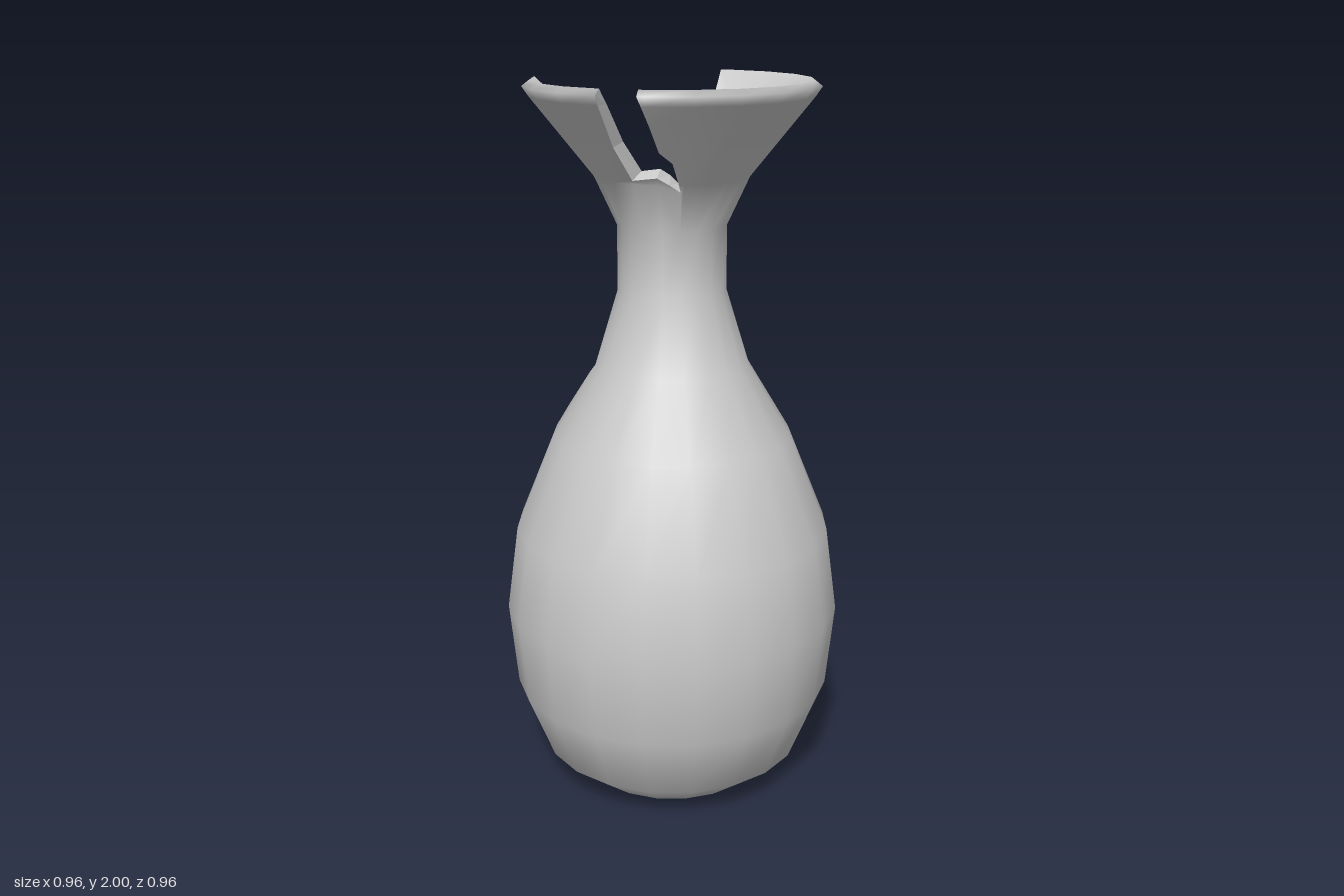
import * as THREE from 'three';
import { mergeVertices } from 'three/addons/utils/BufferGeometryUtils.js';

const STEP = 18; // degrees per side, 20 sides

// Wall rings from foot to lip: outer radius, outer y, inner radius, inner y
const RINGS = [
  [0.265, 0, 0.25, 0.05], [0.38, 0.09, 0.34, 0.11], [0.455, 0.28, 0.415, 0.28],
  [0.478, 0.52, 0.438, 0.52], [0.445, 0.76, 0.405, 0.76], [0.335, 1.03, 0.295, 1.03],
  [0.215, 1.23, 0.172, 1.23], [0.15, 1.44, 0.105, 1.44], [0.15, 1.62, 0.1, 1.63],
  [0.21, 1.75, 0.16, 1.77], [0.378, 1.96, 0.335, 1.96], [0.395, 1.985, 0.375, 2],
];

// Unrolled wall outline (angle, height) with the two broken gaps in its top
const OUTLINE = [
  [-18, -1], [342, -1], [342, 2], [246, 2],
  // large side break
  [251, 1.75], [248, 1.62], [251, 1.455], [212, 1.48], [234, 1.235], [221, 1.16],
  [197, 1.22], [197, 1.035], [148, 1.04], [137, 1.2], [127, 1.235], [142, 1.41],
  [190, 1.45], [192, 1.62], [163, 1.75], [144, 2],
  // small front notch
  [72, 2], [75, 1.85], [72, 1.76], [54, 1.77], [38, 1.73], [44, 1.81], [51, 1.84], [57.5, 2],
  [-18, 2],
];

// Keep the part of a polygon on one side of an axis-aligned line
function clip(poly, axis, value, sign) {
  const out = [];
  poly.forEach((a, i) => {
    const b = poly[(i + 1) % poly.length];
    const da = (a[axis] - value) * sign, db = (b[axis] - value) * sign;
    if (da >= 0) out.push(a);
    if ((da > 0 && db < 0) || (da < 0 && db > 0)) {
      const t = da / (da - db);
      const p = [a[0] + (b[0] - a[0]) * t, a[1] + (b[1] - a[1]) * t];
      p[axis] = value;
      out.push(p);
    }
  });
  return out;
}

const same = (a, b) => Math.abs(a - b) < 1e-6;

function toGeometry(points) {
  const g = new THREE.BufferGeometry();
  g.setAttribute('position', new THREE.Float32BufferAttribute(points.flat(), 3));
  return g;
}

export function createModel() {
  const shell = [], cuts = [];
  const quad = (list, a, b, c, d) => list.push(a, b, c, a, c, d);

  for (let col = 0; col < 20; col++) {
    const t0 = (col - 1) * STEP, t1 = t0 + STEP;
    const a0 = THREE.MathUtils.degToRad(t0), a1 = THREE.MathUtils.degToRad(t1);

    for (let k = 0; k < RINGS.length - 1; k++) {
      const lo = RINGS[k], hi = RINGS[k + 1], last = k === RINGS.length - 2;
      // Place an unrolled point on the outer (side 0) or inner (side 2) wall
      const place = ([t, y], side) => {
        const f = (t - t0) / STEP, g = (y - lo[1]) / (hi[1] - lo[1]);
        const r = lo[side] + (hi[side] - lo[side]) * g;
        const h = lo[side + 1] + (hi[side + 1] - lo[side + 1]) * g;
        return [
          r * (Math.cos(a0) * (1 - f) + Math.cos(a1) * f), h,
          r * (Math.sin(a0) * (1 - f) + Math.sin(a1) * f),
        ];
      };
      let cell = clip(OUTLINE, 0, t0, 1);
      cell = clip(cell, 0, t1, -1);
      cell = clip(cell, 1, lo[1], 1);
      cell = clip(cell, 1, hi[1], -1);
      cell = cell.filter((p, i) => {
        const q = cell[(i + 1) % cell.length];
        return !(same(p[0], q[0]) && same(p[1], q[1]));
      });
      if (cell.length < 3) continue;

      // Outer and inner faces
      const contour = cell.map(([x, y]) => new THREE.Vector2(x, y));
      for (const tri of THREE.ShapeUtils.triangulateShape(contour, [])) {
        let [a, b, c] = tri.map((i) => cell[i]);
        const area = (b[0] - a[0]) * (c[1] - a[1]) - (c[0] - a[0]) * (b[1] - a[1]);
        if (Math.abs(area) < 1e-7) continue;
        if (area < 0) [b, c] = [c, b];
        shell.push(place(a, 0), place(c, 0), place(b, 0));
        shell.push(place(a, 2), place(b, 2), place(c, 2));
      }

      // Lip along the top, broken faces along the gaps
      cell.forEach((a, i) => {
        const b = cell[(i + 1) % cell.length];
        const on = (axis, v) => same(a[axis], v) && same(b[axis], v);
        const lip = last && on(1, hi[1]) && b[0] < a[0];
        const border = on(0, t0) || on(0, t1) || on(1, lo[1]) || on(1, hi[1]);
        if (border && !lip) return;
        quad(lip ? shell : cuts, place(a, 0), place(b, 0), place(b, 2), place(a, 2));
      });
    }

    // Underside and inner floor
    const [ro, yo, ri, yi] = RINGS[0];
    const at = (r, y, a) => [r * Math.cos(a), y, r * Math.sin(a)];
    shell.push([0, yo, 0], at(ro, yo, a0), at(ro, yo, a1));
    shell.push([0, yi, 0], at(ri, yi, a1), at(ri, yi, a0));
  }

  const material = new THREE.MeshStandardMaterial({ color: 0xcccccc, side: THREE.DoubleSide });
  const group = new THREE.Group();
  group.name = 'brokenVase';

  const shellGeometry = mergeVertices(toGeometry(shell), 1e-4);
  shellGeometry.computeVertexNormals();
  const vase = new THREE.Mesh(shellGeometry, material);
  vase.name = 'vaseWall';

  const cutGeometry = toGeometry(cuts);
  cutGeometry.computeVertexNormals();
  const edges = new THREE.Mesh(cutGeometry, material);
  edges.name = 'brokenEdges';

  group.add(vase, edges);
  return group;
}
